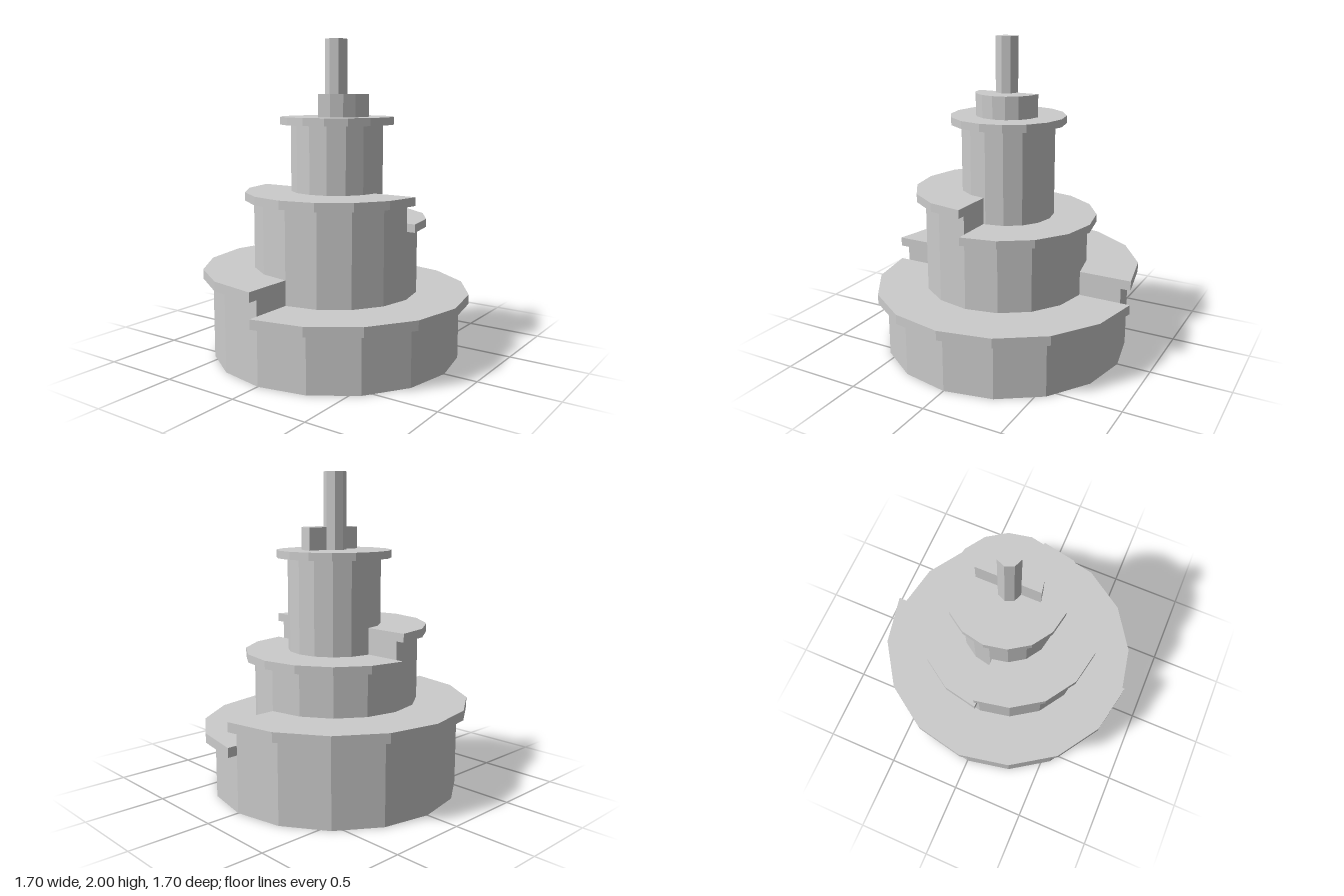
import * as THREE from 'three';

const steel = new THREE.MeshStandardMaterial({ color: 0xcccccc });
steel.name = 'plainGrey';

// Upright prism covering `count` of `sides` facets, starting at facet `first`
// (angle 0 is +x, turning towards the back); partial ones close across the middle.
function prism(name, r, sides, first, count, y0, y1, cz) {
  const pts = [];
  const n = count === sides ? count - 1 : count;
  for (let i = 0; i <= n; i++) {
    const a = ((first + i) / sides) * Math.PI * 2;
    pts.push(new THREE.Vector2(r * Math.cos(a), r * Math.sin(a)));
  }
  const geo = new THREE.ExtrudeGeometry(new THREE.Shape(pts), { depth: y1 - y0, bevelEnabled: false });
  geo.rotateX(-Math.PI / 2);
  const mesh = new THREE.Mesh(geo, steel);
  mesh.name = name;
  mesh.position.set(0, y0, cz);
  return mesh;
}

// Half tier: half drum carrying a wider half flange
function halfTier(name, first, drumR, flangeR, y0, y1, y2, cz) {
  const g = new THREE.Group();
  g.name = name;
  g.add(
    prism(name + 'Drum', drumR, 16, first, 8, y0, y1, cz),
    prism(name + 'Flange', flangeR, 16, first, 8, y1, y2, cz)
  );
  return g;
}

export function createModel() {
  const model = new THREE.Group();
  model.name = 'steppedTower';

  // Bottom tier, stepped between its left and right halves
  model.add(
    halfTier('bottomHigh', 4, 0.788, 0.85, 0, 0.51, 0.57, 0),
    halfTier('bottomLow', 12, 0.788, 0.85, 0, 0.355, 0.415, 0)
  );

  // Middle tier, stepped between its front and back halves
  model.add(
    halfTier('middleHigh', 8, 0.522, 0.578, 0.36, 1.0, 1.053, 0.005),
    halfTier('middleLow', 0, 0.522, 0.578, 0.36, 0.837, 0.888, 0.005)
  );

  // Top tier with a full round flange
  model.add(
    prism('topDrum', 0.294, 16, 0, 16, 0.8, 1.472, -0.008),
    prism('topFlange', 0.362, 16, 0, 16, 1.472, 1.52, -0.01)
  );

  // Half-round key and octagonal shaft
  model.add(
    prism('halfKey', 0.204, 16, 12, 8, 1.51, 1.66, -0.01),
    prism('shaft', 0.072, 8, 0, 8, 1.51, 2, 0)
  );
  return model;
}
